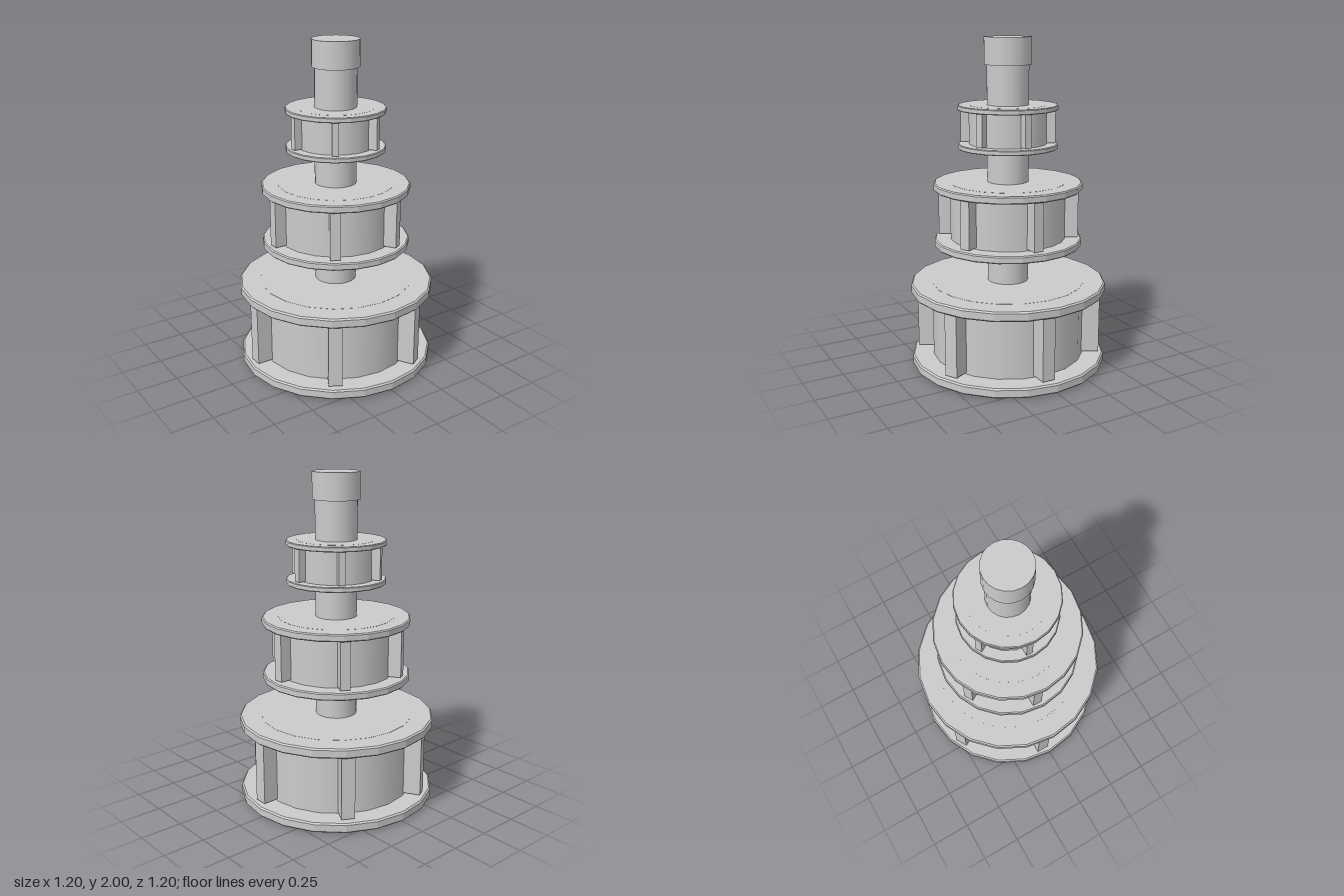
import * as THREE from 'three';

const material = new THREE.MeshStandardMaterial({ color: 0xcccccc });
const SIDES = 20;

function addMesh(parent, name, geometry, y = 0) {
  const mesh = new THREE.Mesh(geometry, material);
  mesh.name = name;
  mesh.position.y = y;
  parent.add(mesh);
  return mesh;
}

// Flat ring with a small bevel on its outer edges
function rimGeometry(inner, outer, height, bevel) {
  const profile = [
    [inner, 0], [outer - bevel, 0], [outer, bevel],
    [outer, height - bevel], [outer - bevel, height], [inner, height],
  ].map(([r, y]) => new THREE.Vector2(r, y));
  const geometry = new THREE.LatheGeometry(profile, SIDES).toNonIndexed();
  geometry.computeVertexNormals();
  return geometry;
}

// One drum with two rims and six upright fins
function createTier(name) {
  const tier = new THREE.Group();
  tier.name = name;
  const height = 0.522;
  addMesh(tier, 'drum', new THREE.CylinderGeometry(0.47, 0.47, height, SIDES), height / 2);
  const rim = rimGeometry(0.46, 0.6, 0.06, 0.009);
  addMesh(tier, 'lowerRim', rim, 0.001);
  addMesh(tier, 'upperRim', rim, height - 0.061);

  // Each fin lies to one side of its radial line
  const fin = new THREE.BoxGeometry(0.12, 0.384, 0.08);
  fin.translate(0.505, 0, 0.043);
  for (let i = 0; i < 6; i++) {
    addMesh(tier, 'fin', fin, 0.266).rotation.y = (i * Math.PI) / 3;
  }
  return tier;
}

export function createModel() {
  const model = new THREE.Group();
  model.name = 'steppedDrumTower';

  // Three tiers share one design at falling sizes
  [['lowerTier', 0.003, 1], ['middleTier', 0.753, 0.75], ['upperTier', 1.345, 0.5]]
    .forEach(([name, y, scale]) => {
      const tier = createTier(name);
      tier.position.y = y;
      tier.scale.setScalar(scale);
      model.add(tier);
    });

  // Central shaft and its cap
  addMesh(model, 'shaft', new THREE.CylinderGeometry(0.126, 0.126, 1.86, SIDES), 0.93);
  addMesh(model, 'cap', new THREE.CylinderGeometry(0.142, 0.142, 0.16, SIDES), 1.92);
  return model;
}
